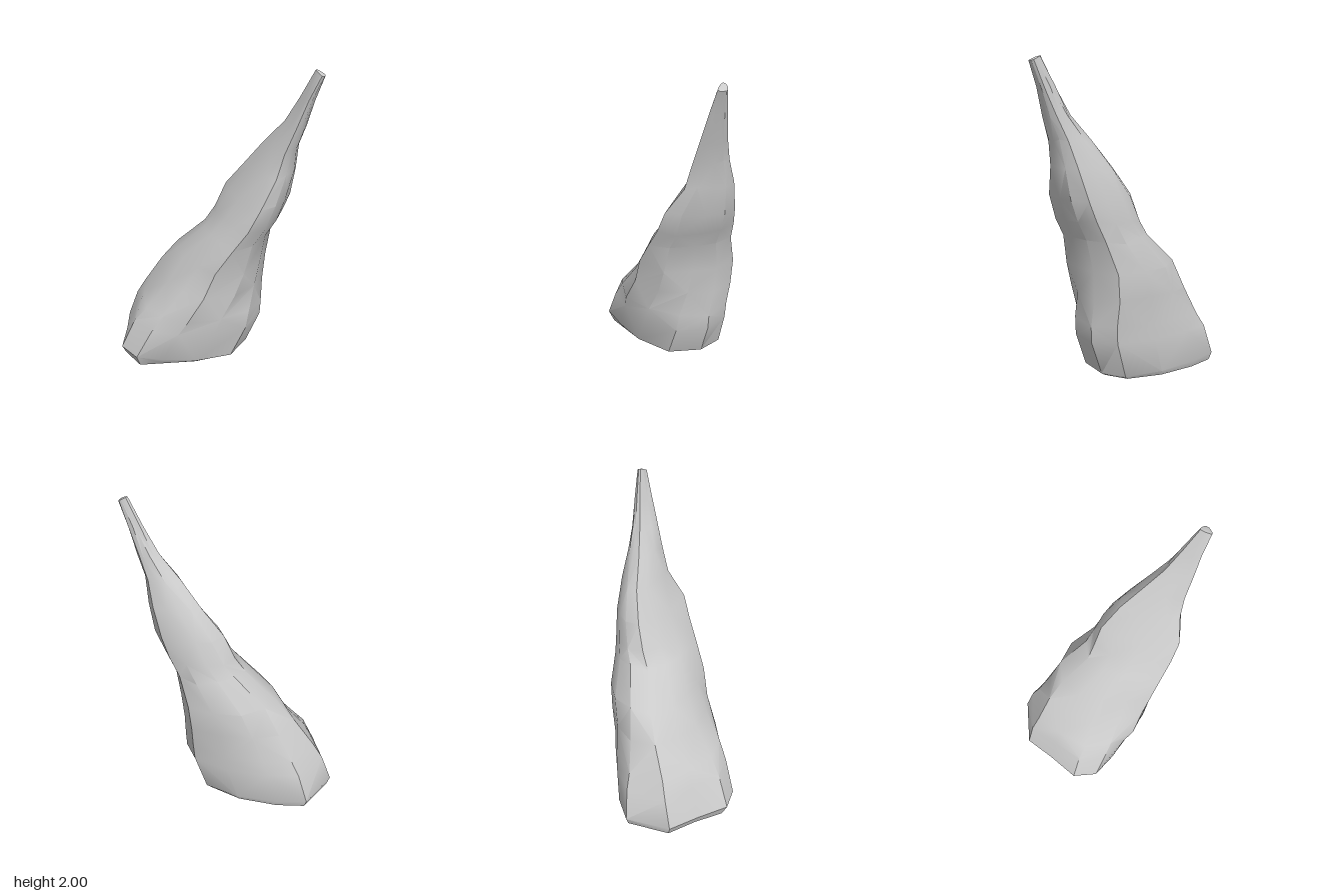
import * as THREE from 'three';
import { toCreasedNormals } from 'three/addons/utils/BufferGeometryUtils.js';

const { lerp, smoothstep } = THREE.MathUtils;

// Normalised outlines (x, z), running left, back, right, front
const FOOT = [[-1, -0.2], [-0.73, -0.9], [-0.3, -1], [0.3, -0.99], [0.82, -0.8], [1, -0.42],
  [0.95, 0.15], [0.55, 0.6], [0.1, 0.85], [-0.28, 1], [-0.62, 0.83], [-0.8, 0.3]];
const MIDDLE = [[-1, -0.25], [-0.82, -0.65], [-0.4, -0.93], [0.15, -1], [0.68, -0.88], [0.95, -0.45],
  [1, 0.05], [0.88, 0.6], [0.45, 1], [0, 0.82], [-0.45, 0.55], [-0.8, 0.2]];
const TOP = [[-1, -0.45], [-0.75, -0.8], [-0.35, -0.95], [0.15, -1], [0.65, -0.88], [0.95, -0.5],
  [1, 0], [0.93, 0.6], [0.68, 1], [0.28, 0.8], [-0.2, 0.48], [-0.7, 0.02]];

// Height, left, right, back and front extent of each section
const SECTIONS = [
  [0.04, -0.65, 0.19, -0.36, 0.355],
  [0.075, -0.67, 0.215, -0.375, 0.39],
  [0.29, -0.61, 0.305, -0.385, 0.36],
  [0.39, -0.54, 0.315, -0.38, 0.34],
  [0.56, -0.42, 0.315, -0.385, 0.275],
  [0.74, -0.31, 0.33, -0.39, 0.24],
  [0.92, -0.10, 0.365, -0.345, 0.20],
  [1.04, -0.04, 0.43, -0.335, 0.165],
  [1.18, 0.03, 0.475, -0.325, 0.135],
  [1.36, 0.165, 0.51, -0.285, 0.03],
  [1.52, 0.30, 0.525, -0.235, -0.005],
  [1.66, 0.43, 0.57, -0.20, -0.035],
  [1.82, 0.52, 0.615, -0.175, -0.065],
  [1.985, 0.61, 0.67, -0.15, -0.09],
];

function createSpikeGeometry() {
  const n = FOOT.length, last = SECTIONS.length - 1;
  let seed = 11;
  const jitter = (a) => {
    seed = (seed * 16807) % 2147483647;
    return (seed / 2147483647 - 0.5) * 2 * a;
  };

  // Rings blend from the broad foot through the middle to the ridged top
  const rings = SECTIONS.map(([y, x0, x1, z0, z1], r) => {
    const low = smoothstep(y, 0.1, 0.75), high = smoothstep(y, 0.8, 1.2);
    return FOOT.map((p, i) => {
      const [u, v] = p.map((f, k) => lerp(lerp(f, MIDDLE[i][k], low), TOP[i][k], high));
      let h = y;
      // The rim dips at the front, the tip slants, the sides are uneven
      if (r === 0) h -= 0.04 * Math.max(0, v) * Math.max(0, 1 - 1.5 * Math.abs(u + 0.28));
      else if (r === 1) h -= 0.02 * u;
      else if (r === last) h -= 0.015 * u;
      else h += jitter(0.015);
      const k = r > 1 && r < last - 1 ? 1 + jitter(0.02) : 1;
      return [
        (x0 + x1) / 2 + u * k * (x1 - x0) / 2, h,
        (z0 + z1) / 2 + v * k * (z1 - z0) / 2,
      ];
    });
  });

  const position = rings.flat(2), index = [];
  for (let r = 0; r < last; r++) {
    for (let i = 0; i < n; i++) {
      const a = r * n + i, b = r * n + (i + 1) % n, c = a + n, d = b + n;
      // Alternate diagonals give the irregular chiselled facets
      if ((r + i) % 2) index.push(a, c, b, b, c, d);
      else index.push(a, c, d, a, d, b);
    }
  }

  // Closed underside and blunt tip
  const cap = (r, y, up) => {
    const [, x0, x1, z0, z1] = SECTIONS[r];
    const centre = position.length / 3;
    position.push((x0 + x1) / 2, y, (z0 + z1) / 2);
    for (let i = 0; i < n; i++) {
      const a = r * n + i, b = r * n + (i + 1) % n;
      index.push(centre, up ? b : a, up ? a : b);
    }
  };
  cap(0, 0.035, false);
  cap(last, 1.99, true);

  const geometry = new THREE.BufferGeometry();
  geometry.setAttribute('position', new THREE.Float32BufferAttribute(position, 3));
  geometry.setIndex(index);
  return toCreasedNormals(geometry, 0.55);
}

export function createModel() {
  const model = new THREE.Group();
  model.name = 'leaningRockSpike';
  const spike = new THREE.Mesh(createSpikeGeometry(), new THREE.MeshStandardMaterial({ color: 0xcccccc }));
  spike.name = 'rockSpike';
  model.add(spike);
  return model;
}
